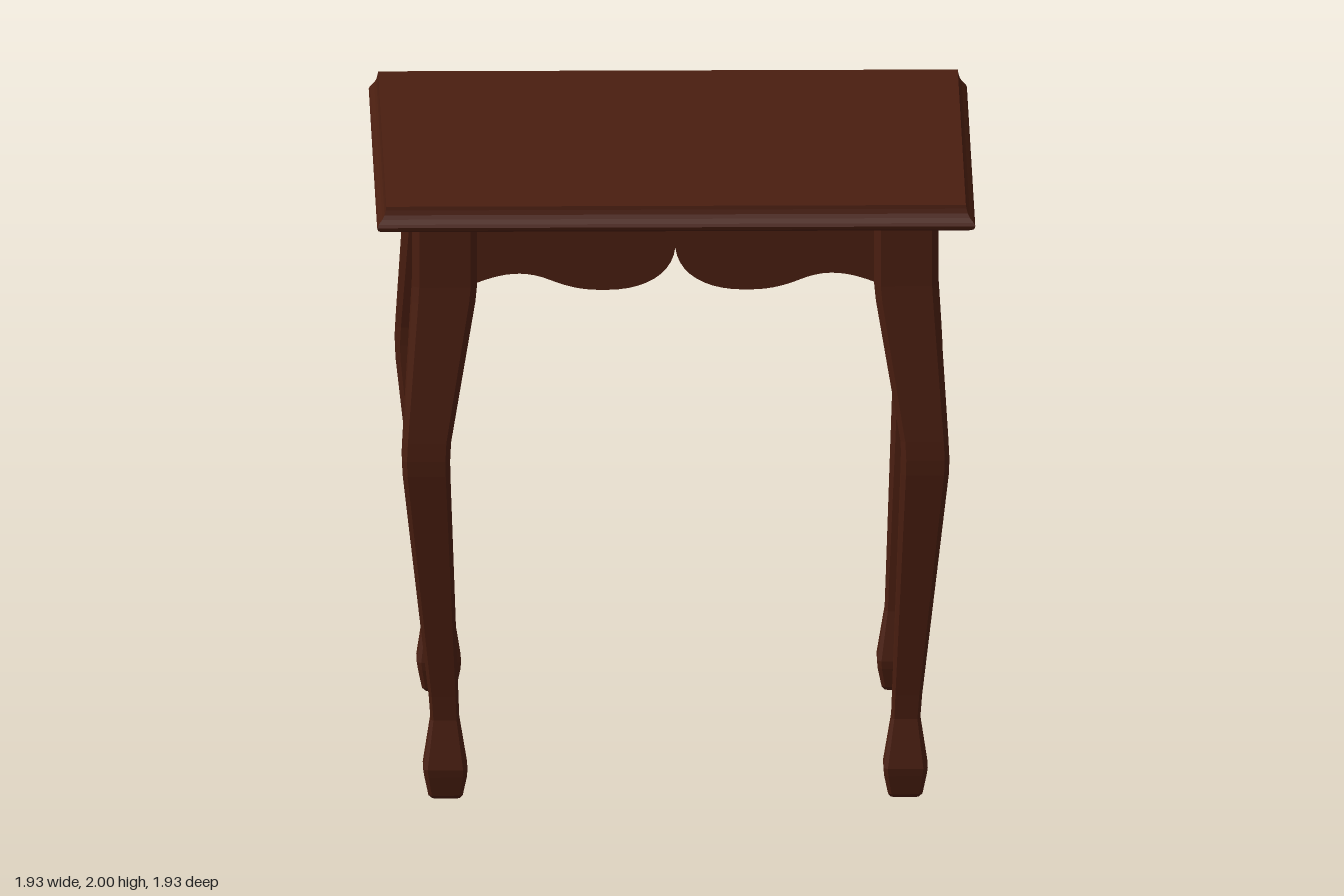
import * as THREE from 'three';

const wood = new THREE.MeshStandardMaterial({ color: 0x4a1e10, flatShading: true });

// Square ring spanning a..b in both x and z, corners cut by c
function ring(a, b, y, c) {
  const pts = c
    ? [[b, a + c], [b, b - c], [b - c, b], [a + c, b], [a, b - c], [a, a + c], [a + c, a], [b - c, a]]
    : [[b, a], [b, b], [a, b], [a, a]];
  return pts.map(([x, z]) => [x, y, z]);
}

// Closed solid through rows of [y, near side, far side], bottom to top
function loft(rows, chamfer) {
  const rings = rows.map(([y, a, b]) => ring(a, b, y, (b - a) * chamfer));
  const n = rings[0].length, pos = [];
  const tri = (...p) => p.forEach((v) => pos.push(...v));
  for (let r = 0; r < rings.length - 1; r++) {
    for (let i = 0; i < n; i++) {
      const j = (i + 1) % n, lo = rings[r], hi = rings[r + 1];
      tri(lo[i], hi[i], lo[j]);
      tri(lo[j], hi[i], hi[j]);
    }
  }
  const bottom = rings[0], top = rings[rings.length - 1];
  for (let i = 1; i < n - 1; i++) {
    tri(bottom[0], bottom[i], bottom[i + 1]);
    tri(top[0], top[i + 1], top[i]);
  }
  const geo = new THREE.BufferGeometry();
  geo.setAttribute('position', new THREE.Float32BufferAttribute(pos, 3));
  geo.computeVertexNormals();
  return geo;
}

// Board with a double-scalloped lower edge meeting in a central cusp
function apronGeometry() {
  const s = new THREE.Shape();
  s.moveTo(-0.66, 1.925);
  s.lineTo(-0.66, 1.705);
  s.lineTo(-0.64, 1.705);
  s.bezierCurveTo(-0.56, 1.735, -0.49, 1.75, -0.4, 1.712);
  s.bezierCurveTo(-0.32, 1.68, -0.27, 1.68, -0.22, 1.68);
  s.bezierCurveTo(-0.1, 1.68, -0.01, 1.73, 0, 1.82);
  s.bezierCurveTo(0.01, 1.73, 0.1, 1.68, 0.22, 1.68);
  s.bezierCurveTo(0.27, 1.68, 0.32, 1.68, 0.4, 1.712);
  s.bezierCurveTo(0.49, 1.75, 0.56, 1.735, 0.64, 1.705);
  s.lineTo(0.66, 1.705);
  s.lineTo(0.66, 1.925);
  const geo = new THREE.ExtrudeGeometry(s, { depth: 0.06, bevelEnabled: false, curveSegments: 10 });
  return geo.translate(0, 0, 0.7);
}

export function createModel() {
  const table = new THREE.Group();
  table.name = 'sideTable';
  const add = (name, geo, turn = 0) => {
    const mesh = new THREE.Mesh(geo, wood);
    mesh.name = name;
    mesh.rotation.y = turn * Math.PI / 2;
    table.add(mesh);
  };

  // Top with moulded edge
  const edge = [[1.92, 0.952], [1.926, 0.962], [1.936, 0.965], [1.946, 0.96], [1.96, 0.948],
    [1.973, 0.941], [1.988, 0.937], [2, 0.935]];
  add('tableTop', loft(edge.map(([y, h]) => [y, -h, h]), 0));

  // Curved legs, with a swollen foot
  const leg = loft([
    [0, 0.695, 0.785], [0.012, 0.686, 0.797], [0.075, 0.673, 0.81], [0.1, 0.671, 0.814],
    [0.26, 0.697, 0.79], [0.34, 0.7, 0.796], [1.09, 0.727, 0.881], [1.14, 0.728, 0.883],
    [1.2, 0.725, 0.88], [1.66, 0.646, 0.851], [1.71, 0.641, 0.848], [1.925, 0.641, 0.848],
  ], 0.1);
  const apron = apronGeometry();
  ['frontLeft', 'frontRight', 'backRight', 'backLeft'].forEach((n, i) => add(n + 'Leg', leg, -i));
  ['front', 'right', 'back', 'left'].forEach((n, i) => add(n + 'Apron', apron, -i));
  return table;
}
